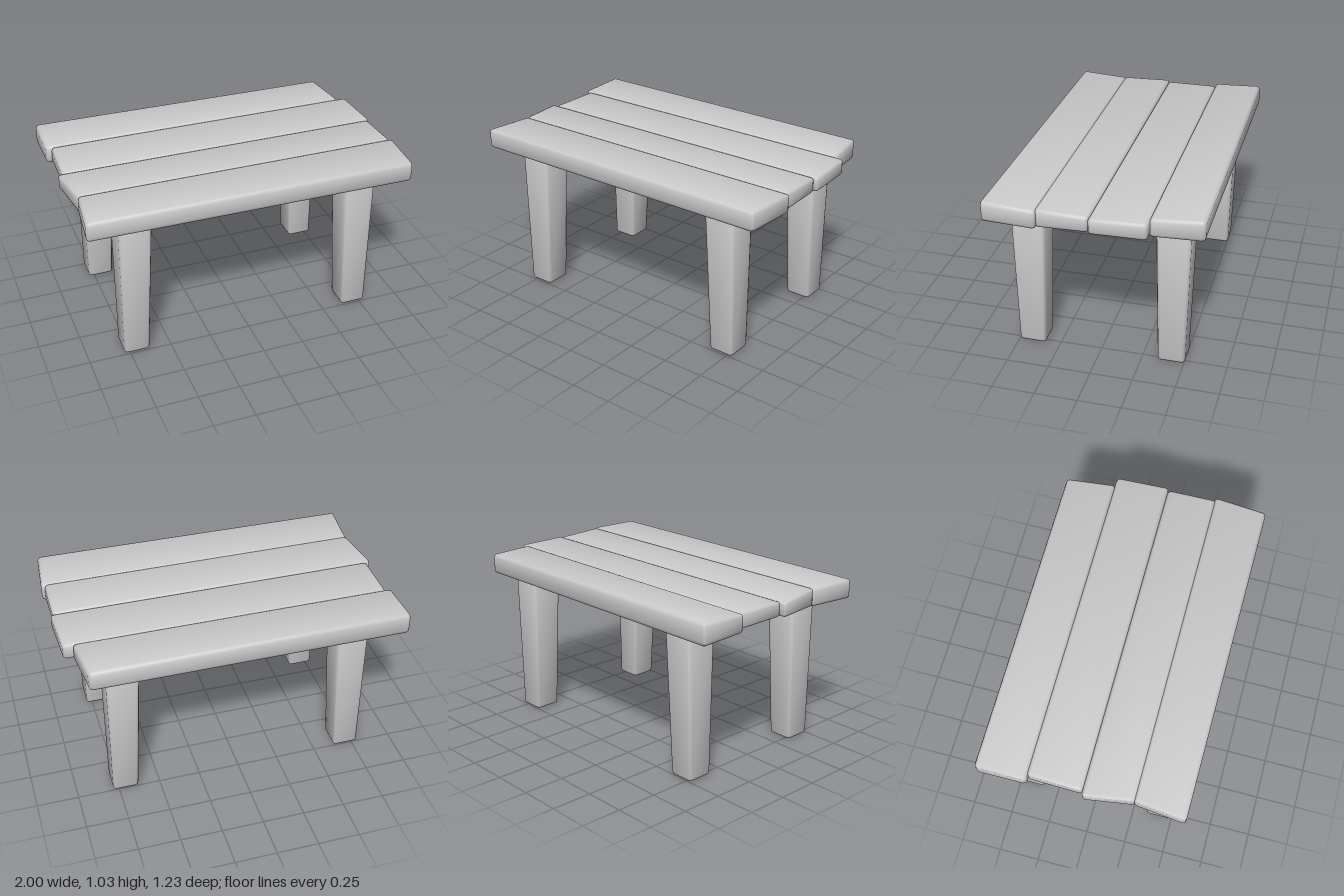
import * as THREE from 'three';
import { mergeVertices } from 'three/addons/utils/BufferGeometryUtils.js';
import { RoundedBoxGeometry } from 'three/addons/geometries/RoundedBoxGeometry.js';

const material = new THREE.MeshStandardMaterial({ color: 0xcccccc });
const mix = THREE.MathUtils.lerp;

// Bevelled box of the given size, bent by place(u, v, w) with u, v, w running 0..1 along x, y, z
function warpedBox(name, size, bevel, place) {
  let geo = new RoundedBoxGeometry(...size, 1, bevel);
  geo.deleteAttribute('normal');
  geo.deleteAttribute('uv');
  geo = mergeVertices(geo, 1e-4);
  const pos = geo.attributes.position;
  const signs = [];
  for (let i = 0; i < pos.count; i++) {
    const p = new THREE.Vector3().fromBufferAttribute(pos, i);
    signs.push(new THREE.Vector3(Math.sign(p.x), Math.sign(p.y), Math.sign(p.z)));
    pos.setXYZ(i, ...place(p.x / size[0] + 0.5, p.y / size[1] + 0.5, p.z / size[2] + 0.5));
  }
  geo.computeVertexNormals();
  // Lean the normals outwards for soft, hand-carved shading
  const nor = geo.attributes.normal;
  for (let i = 0; i < nor.count; i++) {
    const n = new THREE.Vector3().fromBufferAttribute(nor, i).addScaledVector(signs[i], 0.2).normalize();
    nor.setXYZ(i, n.x, n.y, n.z);
  }
  const mesh = new THREE.Mesh(geo, material);
  mesh.name = name;
  return mesh;
}

// Uneven planks; each pair holds the value at the back edge, then at the front edge
const planks = [
  { name: 'backPlank', z: [-0.62, -0.32], left: [-0.995, -0.995], right: [0.89, 0.925], bottom: [0.892, 0.903], top: [1.017, 1.013], lift: [0.009, 0] },
  { name: 'innerBackPlank', z: [-0.325, 0], left: [-0.963, -0.97], right: [0.98, 0.995], bottom: [0.91, 0.914], top: [1.009, 1.005], lift: [0, 0] },
  { name: 'innerFrontPlank', z: [0, 0.3], left: [-1, -0.953], right: [0.98, 0.98], bottom: [0.914, 0.905], top: [1.005, 1.016], lift: [0, 0] },
  { name: 'frontPlank', z: [0.29, 0.613], left: [-0.953, -0.985], right: [1, 0.972], bottom: [0.901, 0.896], top: [1.015, 1.018], lift: [0, 0] },
];

function buildPlank(d) {
  const size = [1.95, 0.11, d.z[1] - d.z[0]];
  return warpedBox(d.name, size, 0.02, (u, v, w) => {
    const at = (pair) => mix(pair[0], pair[1], w);
    const top = at(d.top) + at(d.lift) * (1 - u);
    // the front edge runs slightly out of square
    const skew = d.name === 'frontPlank' ? (u - 1) * 0.015 * w : 0;
    return [mix(at(d.left), at(d.right), u), mix(at(d.bottom), top, v), at(d.z) + skew];
  });
}

// Legs taper downwards, mostly on their inner faces
function buildLeg(sx, sz) {
  const name = (sz > 0 ? 'front' : 'back') + (sx > 0 ? 'Left' : 'Right') + 'Leg';
  return warpedBox(name, [0.17, 0.93, 0.18], 0.02, (u, v, w) => {
    const inner = mix(0.63, 0.588, v);
    const outer = 0.785;
    const near = sz > 0 ? mix(0.336, 0.314, v) : mix(0.344, 0.323, v);
    const far = sz > 0 ? mix(0.497, 0.517, v) : mix(0.504, 0.526, v);
    const x = sx > 0 ? mix(inner, outer, u) : -mix(outer, inner, u);
    const z = sz > 0 ? mix(near, far, w) : -mix(far, near, w);
    return [x, v * 0.93, z];
  });
}

export function createModel() {
  const table = new THREE.Group();
  table.name = 'plankTable';
  const tabletop = new THREE.Group();
  tabletop.name = 'tabletop';
  for (const d of planks) tabletop.add(buildPlank(d));
  const legs = new THREE.Group();
  legs.name = 'legs';
  for (const sx of [-1, 1]) for (const sz of [-1, 1]) legs.add(buildLeg(sx, sz));
  table.add(tabletop, legs);
  return table;
}
